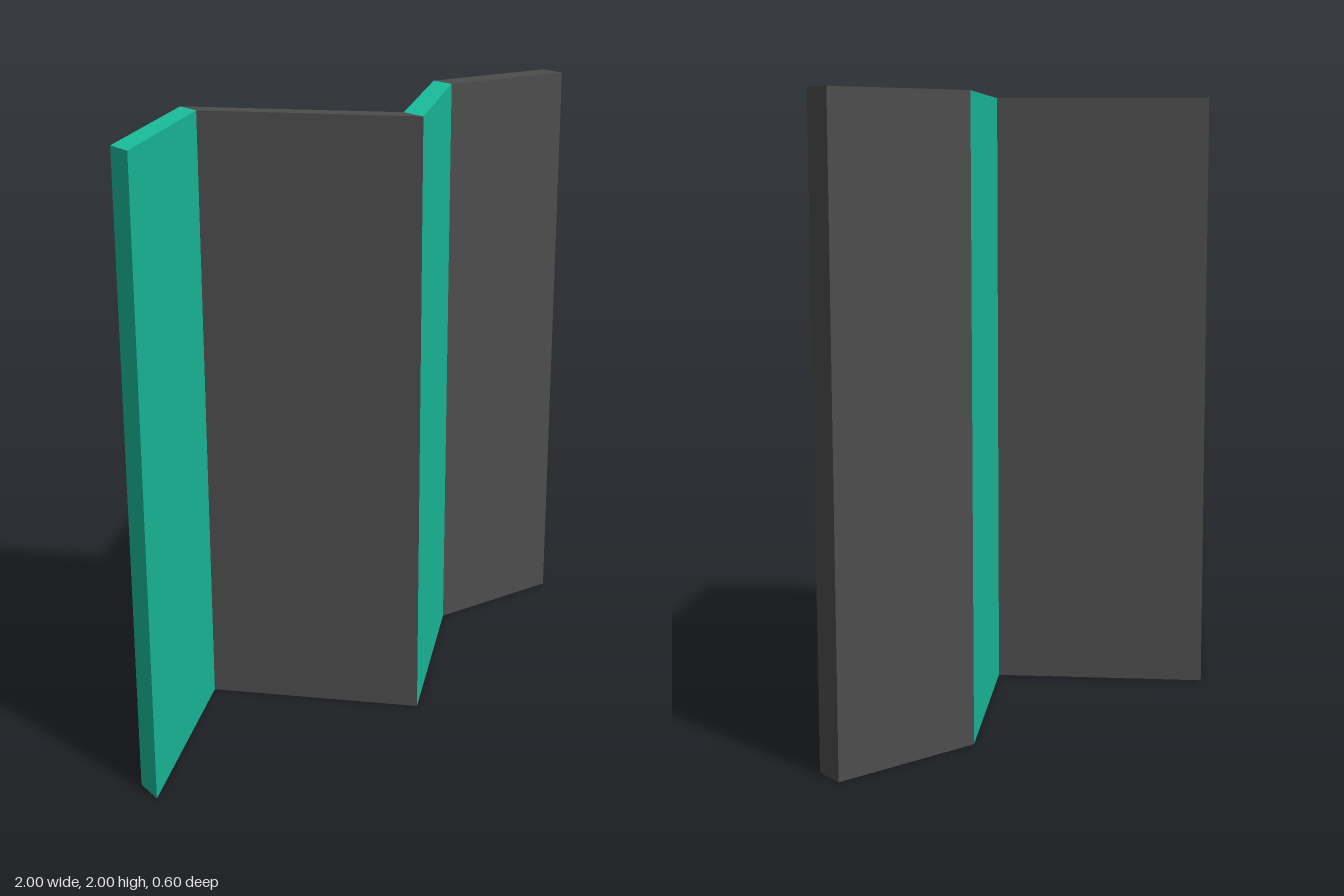
import * as THREE from 'three';

// Folding screen: four panels zig-zagging along x, each mitred at its folds.
export function createModel() {
  const group = new THREE.Group();
  group.name = 'foldingScreen';

  const height = 2;
  const halfThickness = 0.05;
  const teal = new THREE.MeshStandardMaterial({ color: 0x1abc9c });
  const dark = new THREE.MeshStandardMaterial({ color: 0x4d4d4d });

  // Fold lines on the plan: [x, z] of the panel centre line
  const folds = [[-1, 0.25], [-0.5, -0.25], [0, 0.25], [0.5, -0.25], [1, -0.25]];
  const names = ['outerRightPanel', 'innerRightPanel', 'innerLeftPanel', 'outerLeftPanel'];

  names.forEach((name, i) => {
    const [x0, z0] = folds[i];
    const [x1, z1] = folds[i + 1];

    // Plan outline, drawn with -z as the shape's y, then stood upright
    const plan = new THREE.Shape([
      new THREE.Vector2(x0, -z0 - halfThickness),
      new THREE.Vector2(x1, -z1 - halfThickness),
      new THREE.Vector2(x1, -z1 + halfThickness),
      new THREE.Vector2(x0, -z0 + halfThickness),
    ]);
    const geometry = new THREE.ExtrudeGeometry(plan, { depth: height, bevelEnabled: false });
    geometry.rotateX(-Math.PI / 2);

    const panel = new THREE.Mesh(geometry, i % 2 ? dark : teal);
    panel.name = name;
    group.add(panel);
  });

  return group;
}
